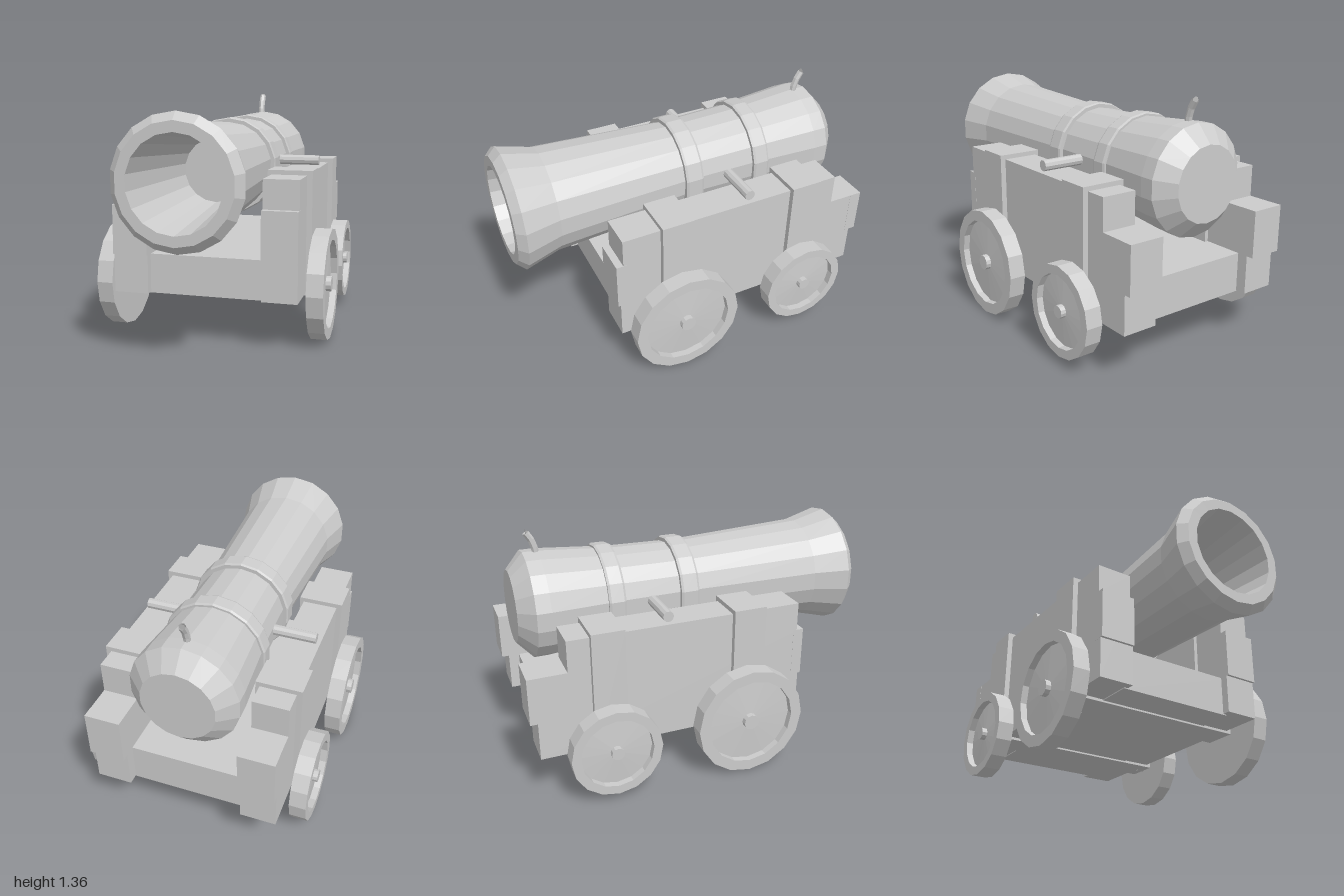
import * as THREE from 'three';

const material = new THREE.MeshStandardMaterial({ color: 0xcccccc, flatShading: true, side: THREE.DoubleSide });

function add(parent, name, geometry, x = 0, y = 0, z = 0) {
  const mesh = new THREE.Mesh(geometry, material);
  mesh.name = name;
  mesh.position.set(x, y, z);
  parent.add(mesh);
  return mesh;
}

// Box given by its limits on each axis
function block(parent, name, [x0, x1], [y0, y1], [z0, z1]) {
  return add(parent, name, new THREE.BoxGeometry(x1 - x0, y1 - y0, z1 - z0),
    (x0 + x1) / 2, (y0 + y1) / 2, (z0 + z1) / 2);
}

// Lathe from [radius, height] pairs
function lathe(profile, sides) {
  return new THREE.LatheGeometry(profile.map(([r, h]) => new THREE.Vector2(r, h)), sides);
}

function addBarrel(parent) {
  const barrel = new THREE.Group();
  barrel.name = 'barrel';
  barrel.position.set(-0.005, 0.945, 0);
  parent.add(barrel);

  // Tube from closed breech to flared muzzle, then back down the bore
  add(barrel, 'barrelTube', lathe([
    [0, -0.965], [0.2, -0.965], [0.295, -0.88], [0.295, -0.8],
    [0.27, -0.49], [0.262, -0.4], [0.255, -0.07], [0.255, 0.03],
    [0.29, 0.76], [0.342, 0.955], [0.3, 1], [0.245, 1], [0.18, 0.3], [0, 0.3],
  ], 18)).rotation.x = Math.PI / 2;

  // Raised reinforcing bands
  for (const [z0, z1, r] of [[-0.075, 0.03, 0.282], [-0.49, -0.395, 0.287]]) {
    add(barrel, 'barrelBand', lathe([
      [0.25, z0], [r - 0.006, z0], [r, z0 + 0.012], [r, z1 - 0.012], [r - 0.006, z1], [0.25, z1],
    ], 18)).rotation.x = Math.PI / 2;
  }

  // Side pivots
  add(barrel, 'trunnion', new THREE.CylinderGeometry(0.03, 0.03, 0.985, 10), 0, 0.02, -0.24)
    .rotation.z = Math.PI / 2;

  // Bent fuse at the breech
  const path = new THREE.CatmullRomCurve3([
    new THREE.Vector3(0, 0.27, -0.805), new THREE.Vector3(0, 0.345, -0.82),
    new THREE.Vector3(0, 0.4, -0.852),
  ]);
  add(barrel, 'fuse', new THREE.TubeGeometry(path, 3, 0.019, 7));
  const cap = add(barrel, 'fuseTip', new THREE.CircleGeometry(0.019, 7), 0, 0.4, -0.852);
  cap.lookAt(cap.position.clone().add(path.getTangent(1)));
}

function addWheel(parent, name, side, radius, x, y, z) {
  const rim = radius * 0.8;
  // Flat back, thick rim, shallow dished face
  const wheel = new THREE.Group();
  wheel.name = name;
  wheel.position.set(side * x, y, z);
  wheel.rotation.z = -side * Math.PI / 2;
  parent.add(wheel);
  add(wheel, 'wheelDisc', lathe([
    [0, 0], [radius, 0], [radius, 0.092], [rim, 0.092], [rim, 0.055], [0, 0.068],
  ], 16));
  add(wheel, 'hub', new THREE.CylinderGeometry(radius * 0.14, radius * 0.14, 0.14, 12), 0, 0.025, 0);
}

// Side board outline as z, y pairs, stepped toward the rear
const cheekOutline = [
  [-0.96, 0.28], [0.545, 0.28], [0.545, 0.77], [0.52, 0.77], [0.52, 0.93],
  [-0.79, 0.93], [-0.79, 0.755], [-0.96, 0.755],
];

export function createModel() {
  const model = new THREE.Group();
  model.name = 'cannon';
  addBarrel(model);

  const carriage = new THREE.Group();
  carriage.name = 'carriage';
  carriage.position.x = -0.005;
  model.add(carriage);
  block(carriage, 'bed', [-0.34, 0.34], [0.275, 0.495], [-0.9, 0.5]);

  const straps = [[0.12, 0.305], [-0.67, -0.49]];
  const cheek = new THREE.ExtrudeGeometry(
    new THREE.Shape(cheekOutline.map(([z, y]) => new THREE.Vector2(z, y))),
    { depth: 0.195, bevelEnabled: false });
  cheek.rotateY(-Math.PI / 2);

  for (const side of [-1, 1]) {
    const span = (a, b) => (side > 0 ? [a, b] : [-b, -a]);
    // Side board with thicker end blocks
    add(carriage, 'cheek', cheek, side > 0 ? 0.512 : -0.317);
    block(carriage, 'frontBlock', span(0.317, 0.513), [0.495, 0.77], [0.5, 0.56]);
    block(carriage, 'rearBlock', span(0.317, 0.513), [0.495, 0.755], [-1, -0.93]);
    // Straps wrapped around the board
    for (const z of straps) block(carriage, 'strap', span(0.295, 0.542), [0.265, 0.955], z);
    addWheel(carriage, 'frontWheel', side, 0.313, 0.547, 0.314, 0.195);
    addWheel(carriage, 'rearWheel', side, 0.25, 0.542, 0.295, -0.578);
  }
  // Axle beams under the bed
  for (const z of straps) block(carriage, 'axleBeam', [-0.3, 0.3], [0.265, 0.3], z);

  return model;
}
